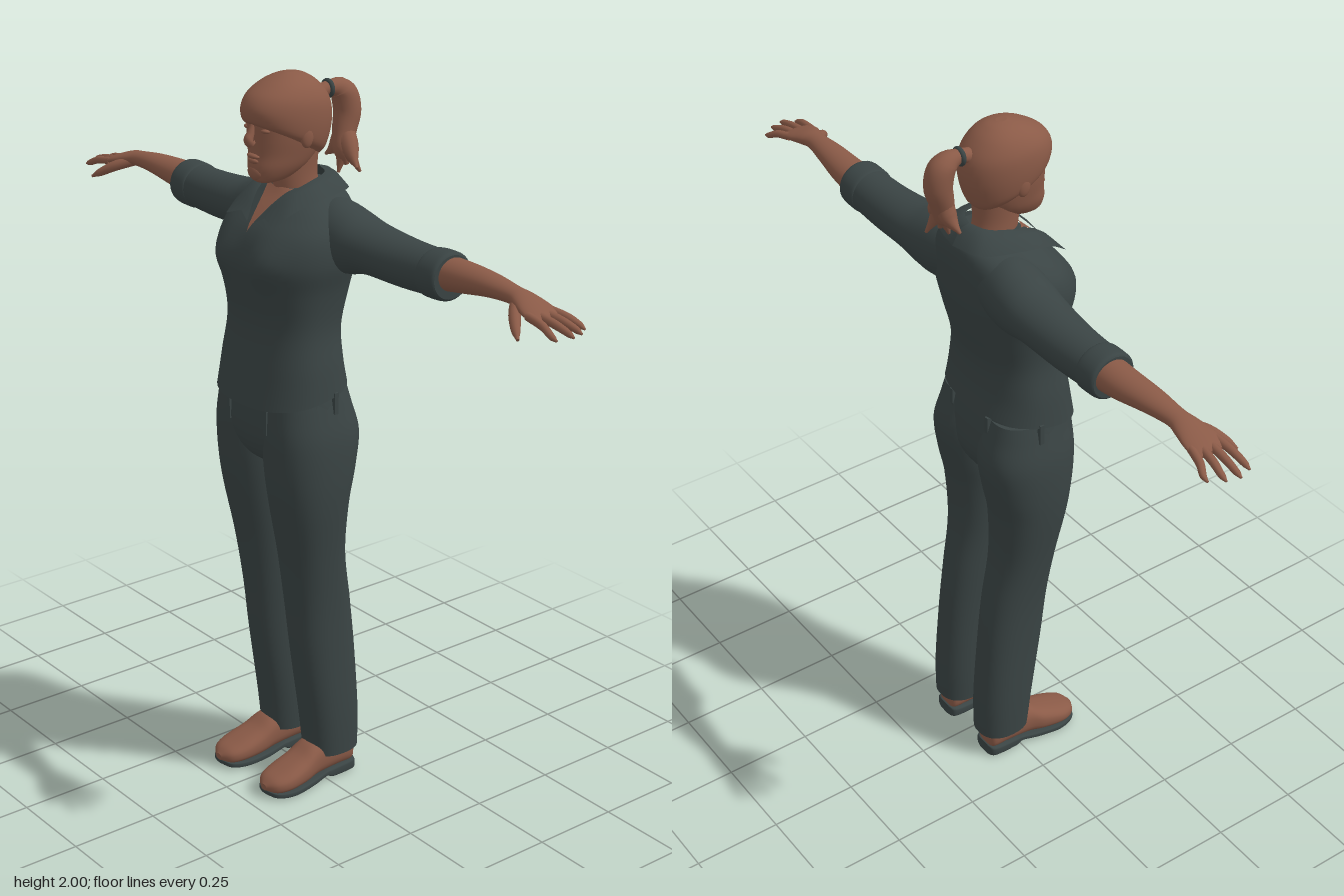
import * as THREE from 'three';

const brown = new THREE.MeshStandardMaterial({ color: 0x8a5a47 });
brown.name = 'warm brown';
const slate = new THREE.MeshStandardMaterial({ color: 0x3a4444, side: THREE.DoubleSide });
slate.name = 'dark slate';

// Smooth interpolation through rows of numbers
function sample(rows, t) {
  const i = Math.min(Math.floor(t), rows.length - 2), f = t - i;
  const a = rows[Math.max(i - 1, 0)], b = rows[i], c = rows[i + 1], d = rows[Math.min(i + 2, rows.length - 1)];
  return b.map((v, k) => v + 0.5 * f * (c[k] - a[k] + f * (2 * a[k] - 5 * v + 4 * c[k] - d[k] + f * (3 * (v - c[k]) + d[k] - a[k]))));
}

// Unit superellipse point
function oval(angle, p = 2) {
  const c = Math.cos(angle), s = Math.sin(angle);
  return [Math.sign(c) * Math.abs(c) ** (2 / p), Math.sign(s) * Math.abs(s) ** (2 / p)];
}

// Closed skin over rings, with flat end caps and faces turned outward
function skin(rings) {
  const n = rings[0].length, m = rings.length, pos = rings.flat(), idx = [];
  for (let r = 0; r < m - 1; r++) {
    for (let j = 0; j < n; j++) {
      const a = r * n + j, b = r * n + (j + 1) % n;
      idx.push(a, b, a + n, b, b + n, a + n);
    }
  }
  for (const [ring, flip] of [[rings[0], true], [rings[m - 1], false]]) {
    const start = pos.length;
    const mid = new THREE.Vector3();
    ring.forEach(v => mid.addScaledVector(v, 1 / n));
    pos.push(...ring, mid);
    for (let j = 0; j < n; j++) {
      const a = start + j, b = start + (j + 1) % n;
      idx.push(...(flip ? [b, a, start + n] : [a, b, start + n]));
    }
  }
  let volume = 0;
  const cross = new THREE.Vector3();
  for (let i = 0; i < idx.length; i += 3) volume += pos[idx[i]].dot(cross.crossVectors(pos[idx[i + 1]], pos[idx[i + 2]]));
  if (volume < 0) idx.reverse();
  const g = new THREE.BufferGeometry().setFromPoints(pos);
  g.setIndex(idx);
  g.computeVertexNormals();
  return g;
}

function loft(rows, place, per = 5, seg = 32) {
  const rings = [], steps = (rows.length - 1) * per;
  for (let r = 0; r <= steps; r++) {
    const row = sample(rows, r / per);
    rings.push(Array.from({ length: seg }, (_, j) => place(row, j / seg * Math.PI * 2)));
  }
  return skin(rings);
}

// Cross-section rules: upright [y, cx, rx, zFront, zBack, tilt], sideways [x, cy, cz, ry, rz], lengthwise [z, cx, y0, y1, rx]
const upright = (p, s = 1) => ([y, cx, rx, zf, zb, tilt = 0], a) => {
  const [u, v] = oval(a, p);
  return new THREE.Vector3(s * (cx + rx * u), y + tilt * v, (zf + zb) / 2 + (zf - zb) / 2 * v);
};
const sideways = s => ([x, cy, cz, ry, rz], a) =>
  new THREE.Vector3(s * x, cy + ry * Math.cos(a), cz + rz * Math.sin(a));
const lengthwise = (p, s) => ([z, cx, y0, y1, rx], a) => {
  const [u, v] = oval(a, p);
  return new THREE.Vector3(s * (cx + rx * u), (y0 + y1) / 2 + (y1 - y0) / 2 * v, z);
};

// Tapered tube along points [x, y, z, radius]
function taper(rows, s = 1, seg = 12) {
  const curve = new THREE.CatmullRomCurve3(rows.map(r => new THREE.Vector3(s * r[0], r[1], r[2])));
  const steps = (rows.length - 1) * 5, f = curve.computeFrenetFrames(steps);
  const rings = [];
  for (let i = 0; i <= steps; i++) {
    const c = curve.getPoint(i / steps), rad = sample(rows, i / 5)[3];
    rings.push(Array.from({ length: seg }, (_, j) => {
      const a = j / seg * Math.PI * 2;
      return c.clone().addScaledVector(f.normals[i], rad * Math.cos(a)).addScaledVector(f.binormals[i], rad * Math.sin(a));
    }));
  }
  return skin(rings);
}

// Open sheet between rows of points
function sheet(rows) {
  const n = rows[0].length, idx = [];
  for (let r = 0; r < rows.length - 1; r++) {
    for (let j = 0; j < n - 1; j++) {
      const a = r * n + j;
      idx.push(a, a + 1, a + n, a + 1, a + n + 1, a + n);
    }
  }
  const g = new THREE.BufferGeometry().setFromPoints(rows.flat());
  g.setIndex(idx);
  g.computeVertexNormals();
  return g;
}

export function createModel() {
  const model = new THREE.Group();
  const add = (name, geometry, material, x = 0, y = 0, z = 0) => {
    const mesh = new THREE.Mesh(geometry, material);
    mesh.name = name;
    mesh.position.set(x, y, z);
    model.add(mesh);
    return mesh;
  };
  const blob = (name, x, y, z, rx, ry, rz) =>
    add(name, new THREE.SphereGeometry(1, 20, 14), brown, x, y, z).scale.set(rx, ry, rz);

  // Shirt body with a slanted hem and fuller chest
  const shirt = [
    [1.168, 0, .193, .195, -.09, -.028], [1.25, 0, .185, .178, -.076, -.015], [1.35, 0, .172, .163, -.075, 0],
    [1.45, 0, .182, .175, -.1, 0], [1.53, 0, .2, .18, -.115, 0], [1.6, 0, .195, .158, -.12, 0],
    [1.65, 0, .165, .115, -.12, 0], [1.685, 0, .12, .078, -.113, 0], [1.705, 0, .075, .06, -.095, 0]];
  const shirtPoint = (row, a) => {
    const v = upright(2.4)(row, a);
    if (v.z > 0.05) v.z += 0.022 * Math.exp(-((Math.abs(v.x) - 0.085) ** 2) / 0.004 - ((v.y - 1.53) ** 2) / 0.004);
    return v;
  };
  add('shirt', loft(shirt, shirtPoint, 5, 48), slate);

  // Bare skin in the open neckline
  const opening = [];
  for (let i = 0; i <= 9; i++) {
    const row = sample(shirt, 5 + i / 3), w = 0.052 * i / 9;
    opening.push(Array.from({ length: 9 }, (_, j) => {
      const u = w * (j / 4 - 1);
      const a = Math.acos(Math.sign(u) * (Math.abs(u) / row[2]) ** 1.2);
      return shirtPoint(row, a).add(new THREE.Vector3(0, 0.002, 0.005));
    }));
  }
  add('neckOpening', sheet(opening), brown);

  // Neck, head and hair
  add('neck', loft([[1.6, 0, .055, .06, -.06], [1.68, 0, .052, .065, -.062], [1.74, 0, .05, .072, -.055],
    [1.81, 0, .055, .07, -.06]], upright(2)), brown);
  add('head', loft([[1.727, 0, .026, .128, .07], [1.737, 0, .043, .14, .03], [1.765, 0, .06, .146, -.02],
    [1.8, 0, .07, .142, -.05], [1.84, 0, .078, .142, -.062], [1.88, 0, .082, .143, -.075],
    [1.92, 0, .082, .138, -.075], [1.96, 0, .062, .1, -.04], [1.98, 0, .03, .06, 0]], upright(2.2)), brown);
  add('hair', loft([[1.828, 0, .074, .143, -.055, .05], [1.845, 0, .089, .156, -.073, .045], [1.89, 0, .095, .16, -.09, .03],
    [1.935, 0, .09, .143, -.086, .015], [1.97, 0, .07, .108, -.055, .004], [1.991, 0, .04, .07, -.02, 0],
    [1.999, 0, .012, .04, .01, 0]], upright(2.1), 5, 40), brown);
  add('nose', taper([[0, 1.882, .139, .007], [0, 1.858, .148, .01], [0, 1.84, .155, .013], [0, 1.829, .147, .013]]), brown);
  blob('upperLip', 0, 1.797, .14, .024, .007, .011);
  blob('lowerLip', 0, 1.785, .14, .021, .008, .01);
  blob('chin', 0, 1.755, .132, .028, .022, .017);
  for (const s of [1, -1]) {
    blob('eye', s * .034, 1.866, .127, .016, .007, .012);
    blob('ear', s * .083, 1.85, .033, .011, .033, .02);
  }

  // Ponytail with loose tips and its band
  add('ponytail', taper([[0, 1.93, -.07, .02], [0, 1.938, -.105, .02], [.002, 1.928, -.145, .034], [.005, 1.875, -.16, .037],
    [.01, 1.82, -.147, .032], [.02, 1.77, -.135, .026], [.03, 1.735, -.14, .006]], 1, 20), brown);
  for (const [x, y, z] of [[.09, 1.74, -.125], [.055, 1.717, -.165], [-.045, 1.75, -.13], [.02, 1.715, -.12]])
    add('ponytailTip', taper([[.005, 1.84, -.15, .022], [.01 + x * .35, 1.785, -.14, .024], [x, y, z, .004]]), brown);
  add('hairBand', new THREE.TorusGeometry(.019, .007, 10, 20), slate, 0, 1.937, -.1);

  // Trouser seat
  add('trouserSeat', loft([[1.195, 0, .178, .165, -.07], [1.12, 0, .19, .17, -.084], [1.04, 0, .188, .167, -.085],
    [.98, 0, .11, .14, -.06], [.94, 0, .03, .08, -.02]], upright(2.5)), slate);

  // Trouser leg rows: y, inner x, outer x, front z, back z
  const leg = [[.08, .03, .163, .036, -.12], [.2, .026, .166, .05, -.12], [.4, .025, .165, .08, -.106],
    [.55, .02, .168, .097, -.088], [.7, .014, .181, .117, -.063], [.85, .006, .2, .146, -.066],
    [.95, 0, .207, .161, -.086], [1.05, -.002, .205, .168, -.1], [1.13, 0, .19, .165, -.082], [1.175, .02, .18, .16, -.068]]
    .map(([y, a, b, zf, zb]) => [y, (a + b) / 2, (b - a) / 2, zf, zb]);

  for (const s of [1, -1]) {
    add('trouserLeg', loft(leg, upright(2.35, s)), slate);
    add('beltLoop', new THREE.BoxGeometry(.013, .075, .012), slate, s * .08, 1.105, .164);
    add('beltLoop', new THREE.BoxGeometry(.012, .06, .013), slate, s * .188, 1.155, .02);
    add('beltLoop', new THREE.BoxGeometry(.013, .06, .012), slate, s * .08, 1.155, -.073);

    // Shoe and sole
    add('shoe', loft([[-.1, .1, .03, .08, .022], [-.09, .1, .022, .105, .041], [-.04, .1, .022, .125, .046],
      [.03, .1, .018, .12, .049], [.08, .103, .012, .092, .055], [.14, .106, .01, .07, .056],
      [.18, .106, .012, .056, .042], [.2, .106, .022, .04, .012]], lengthwise(2.5, s)), brown);
    add('sole', loft([[-.104, .1, 0, .035, .025], [-.09, .1, 0, .035, .044], [-.02, .1, 0, .031, .046],
      [.005, .1, .012, .03, .048], [.06, .102, .003, .022, .054], [.13, .106, 0, .019, .058],
      [.18, .106, .004, .021, .044], [.199, .106, .012, .025, .012]], lengthwise(5, s)), slate);

    // Sleeve and rolled cuff
    add('sleeve', loft([[.08, 1.6, -.035, .085, .075], [.14, 1.59, -.035, .094, .083], [.2, 1.585, -.037, .084, .084],
      [.27, 1.583, -.041, .067, .078], [.4, 1.576, -.045, .062, .068], [.53, 1.579, -.046, .058, .062]], sideways(s)), slate);
    add('cuff', loft([[.488, 1.578, -.046, .056, .06], [.496, 1.578, -.046, .063, .067], [.545, 1.58, -.046, .063, .066],
      [.556, 1.58, -.046, .056, .059]], sideways(s)), slate);

    // Collar wing, from the neckline point to the nape
    const edge = pts => new THREE.CatmullRomCurve3(pts.map(([x, y, z]) => new THREE.Vector3(s * x, y, z))).getPoints(16);
    add('collar', sheet([
      edge([[.012, 1.625, .153], [.05, 1.69, .09], [.07, 1.722, .02], [.05, 1.735, -.05], [0, 1.738, -.072]]),
      edge([[.05, 1.645, .143], [.085, 1.7, .085], [.1, 1.72, .02], [.07, 1.73, -.075], [0, 1.732, -.1]]),
      edge([[.1, 1.628, .155], [.115, 1.665, .1], [.13, 1.69, .02], [.09, 1.695, -.1], [0, 1.69, -.124]])]), slate);

    // Forearm, palm, fingers and thumb
    add('forearmAndPalm', loft([[.5, 1.583, -.048, .047, .05], [.6, 1.59, -.05, .039, .047], [.7, 1.597, -.045, .029, .038],
      [.78, 1.596, -.04, .022, .029], [.82, 1.591, -.038, .021, .037], [.86, 1.582, -.035, .017, .047],
      [.895, 1.573, -.034, .012, .046], [.907, 1.57, -.034, .005, .036]], sideways(s)), brown);
    for (const [z, tx, ty, tz] of [[-.07, .965, 1.549, -.094], [-.047, .99, 1.551, -.06], [-.022, 1, 1.552, -.025], [.003, .984, 1.548, .014]])
      add('finger', taper([[.875, 1.577, z, .011], [(.88 + tx) / 2, 1.568, (z + tz) / 2, .0105],
        [tx - .015, ty + .005, tz, .008], [tx, ty, tz, .003]], s), brown);
    add('thumb', taper([[.8, 1.588, -.03, .015], [.84, 1.57, .012, .015], [.875, 1.548, .04, .011], [.896, 1.535, .053, .004]], s), brown);
  }
  return model;
}
